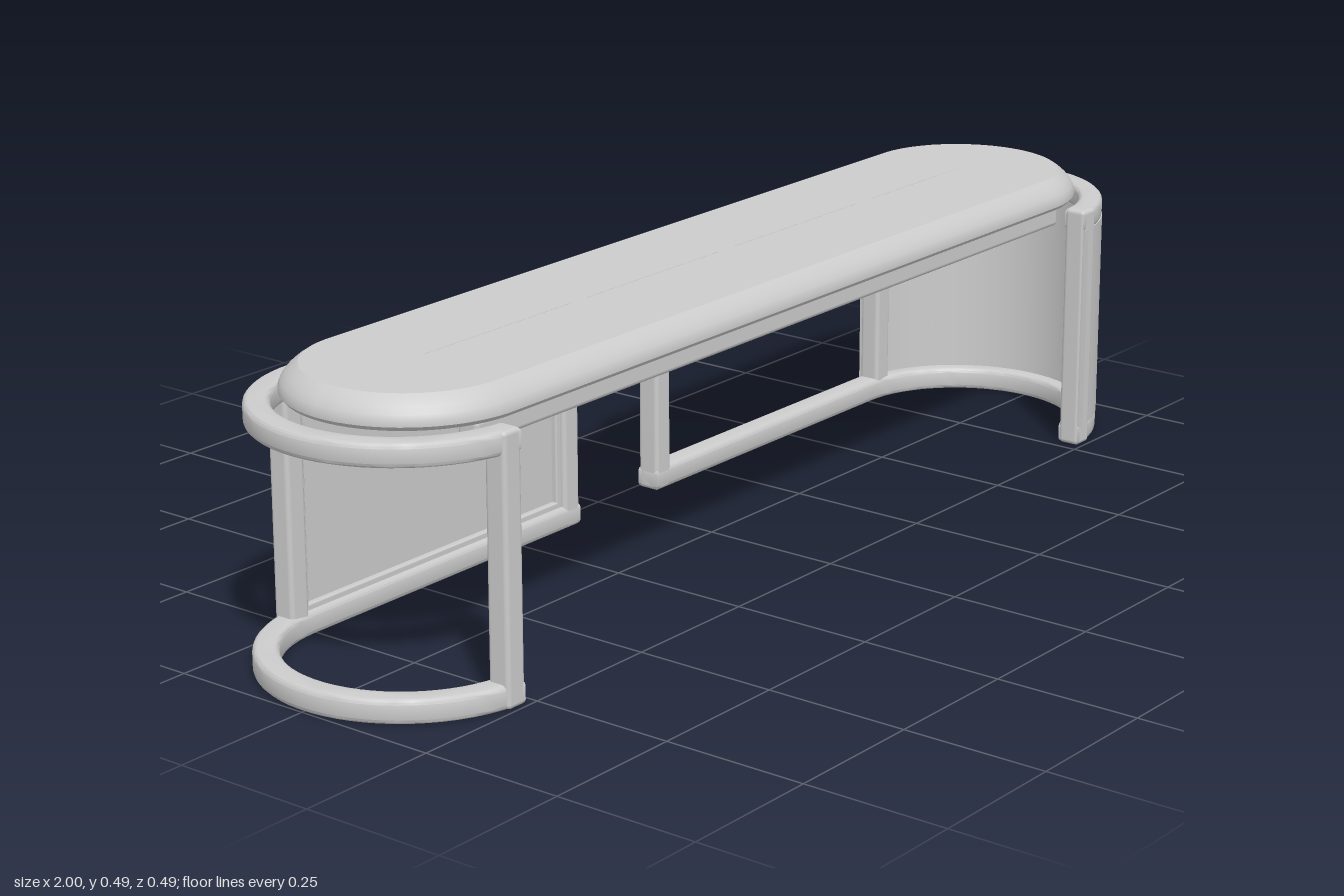
import * as THREE from 'three';
import { toCreasedNormals } from 'three/addons/utils/BufferGeometryUtils.js';
import { RoundedBoxGeometry } from 'three/addons/geometries/RoundedBoxGeometry.js';

const CX = 0.755; // centre of the rounded ends
const RO = 0.245, RI = 0.203; // outer and inner radius of the frame
const INNER_X = 0.105; // where each half frame stops at the back

export function createModel() {
  const grey = new THREE.MeshStandardMaterial({ color: 0xcccccc });
  grey.name = 'light grey';
  const model = new THREE.Group();
  model.name = 'bench';

  const add = (name, geometry, parent = model) => {
    const mesh = new THREE.Mesh(geometry, grey);
    mesh.name = name;
    parent.add(mesh);
    return mesh;
  };
  const box = (name, x0, x1, y0, y1, z0, z1, parent, r = 0.008) =>
    add(name, new RoundedBoxGeometry(x1 - x0, y1 - y0, z1 - z0, 2, r), parent)
      .position.set((x0 + x1) / 2, (y0 + y1) / 2, (z0 + z1) / 2);

  // Curved band around one end, optionally running on along the back
  const band = (side, ro, ri, y0, y1, withBack, bevel) => {
    const arc = (r) => {
      const a = Math.acos(0.015 / r), pts = [];
      for (let i = 0; i <= 32; i++) {
        const t = -a + (a + (withBack ? Math.PI / 2 : a)) * i / 32;
        pts.push(new THREE.Vector2(side * (CX + r * Math.cos(t)), r * Math.sin(t)));
      }
      if (withBack) pts.push(new THREE.Vector2(side * INNER_X, r));
      return pts;
    };
    const shape = new THREE.Shape([...arc(ro), ...arc(ri).reverse()]);
    const g = new THREE.ExtrudeGeometry(shape, {
      depth: y1 - y0 - 2 * bevel, bevelEnabled: bevel > 0, bevelThickness: bevel,
      bevelSize: bevel, bevelOffset: -bevel, bevelSegments: 3,
    });
    g.rotateX(-Math.PI / 2).translate(0, y0 + bevel, 0);
    return toCreasedNormals(g, 0.6);
  };

  // Seat: a turned cushion profile, pulled apart along x into a long oval
  const profile = [[0.0005, 0.438], [0.188, 0.438], [0.197, 0.441], [0.203, 0.448], [0.203, 0.456],
    [0.199, 0.466], [0.191, 0.476], [0.181, 0.485], [0.172, 0.491], [0.0005, 0.491]];
  const seg = 64;
  const seat = new THREE.LatheGeometry(profile.map(([r, y]) => new THREE.Vector2(r, y)), seg, Math.PI / seg);
  const p = seat.attributes.position;
  for (let i = 0; i < p.count; i++) p.setX(i, p.getX(i) + Math.sign(p.getX(i)) * 0.738);
  add('seat', toCreasedNormals(seat, 0.5));

  // Support frame under the seat
  for (const z of [-0.155, 0.155]) box('seatRail', -0.79, 0.79, 0.4, 0.439, z - 0.02, z + 0.02);
  for (const x of [-0.6, -0.2, 0.2, 0.6]) box('crossStrut', x - 0.018, x + 0.018, 0.402, 0.439, -0.14, 0.14);

  // Two mirrored half frames
  for (const side of [-1, 1]) {
    const frame = new THREE.Group();
    frame.name = side > 0 ? 'leftFrame' : 'rightFrame';
    model.add(frame);
    add('bottomRail', band(side, RO, RI, 0, 0.04, true, 0.008), frame);
    add('topRail', band(side, RO, RI, 0.402, 0.441, true, 0.008), frame);

    const post = (name, x, z0, z1, y0, y1) =>
      box(name, Math.min(side * x, side * (x + 0.04)), Math.max(side * x, side * (x + 0.04)), y0, y1, z0, z1, frame);
    post('innerPost', INNER_X, -RO, -RI, 0, 0.441);
    post('backPost', 0.768, -RO + 0.002, -RI, 0.02, 0.42);
    post('frontPost', 0.768, RI, RO - 0.001, 0, 0.441);
  }

  // Infill: a curved sheet on one half, a flat sheet on the other
  add('curvedPanel', band(1, RO + 0.001, RO - 0.017, 0.036, 0.406, false, 0));
  box('flatPanel', -0.775, -0.14, 0.036, 0.406, -0.24, -0.222, model, 0.003);
  // Slim lip around the flat panel
  box('panelLip', -0.77, -0.14, 0.036, 0.05, -0.243, -0.212, model, 0.003);
  box('panelLip', -0.77, -0.14, 0.392, 0.406, -0.243, -0.212, model, 0.003);
  box('panelLip', -0.156, -0.14, 0.036, 0.406, -0.243, -0.212, model, 0.003);
  box('panelLip', -0.775, -0.76, 0.036, 0.406, -0.243, -0.212, model, 0.003);

  return model;
}
